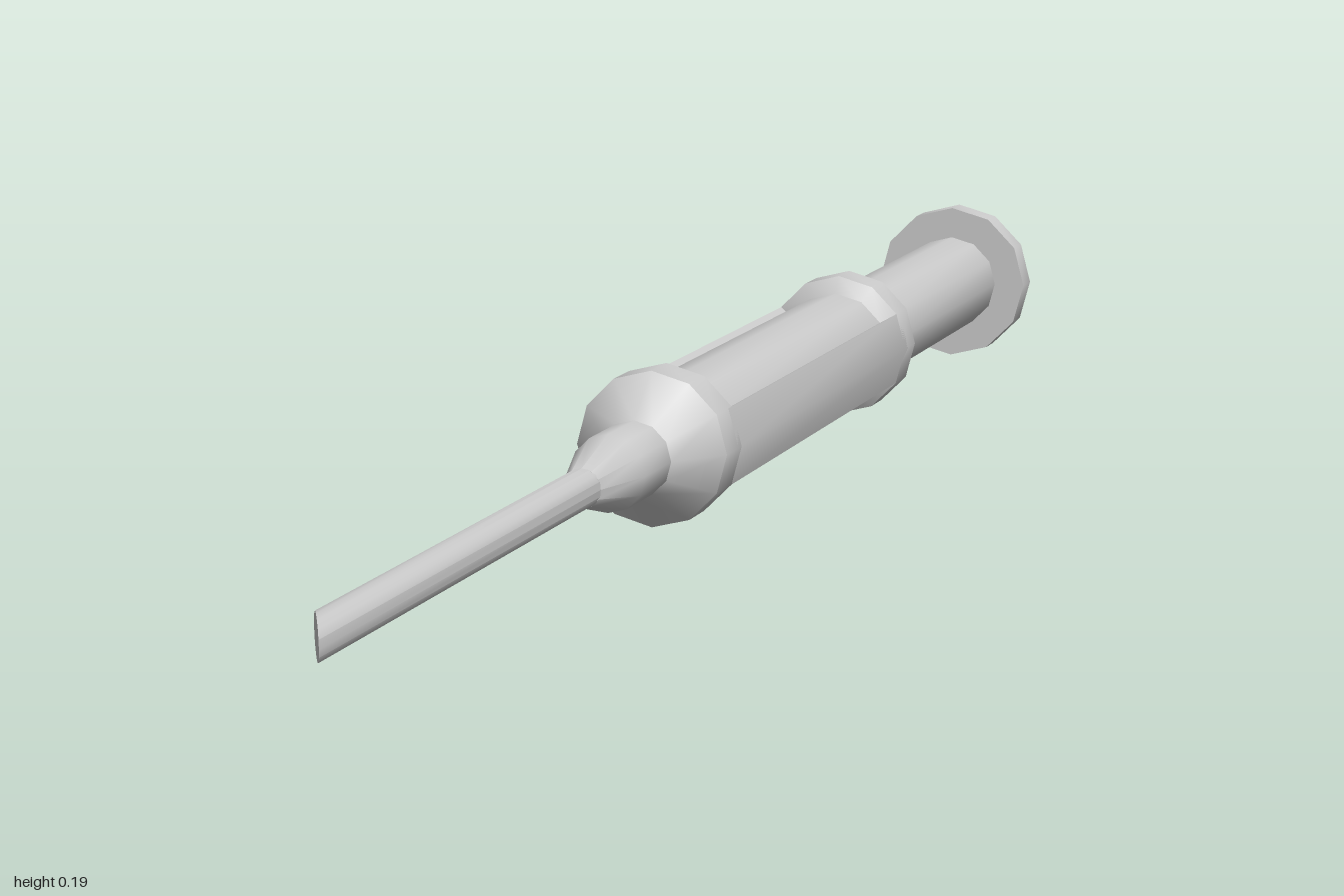
import * as THREE from 'three';
import { toCreasedNormals } from 'three/addons/utils/BufferGeometryUtils.js';

const SIDES = 12;
const AXIS_Y = 0.096;
const CREASE = 0.6;

export function createModel() {
  const group = new THREE.Group();
  const material = new THREE.MeshStandardMaterial({ color: 0xcccccc });

  const add = (name, geometry) => {
    const mesh = new THREE.Mesh(toCreasedNormals(geometry, CREASE), material);
    mesh.name = name;
    mesh.position.y = AXIS_Y;
    group.add(mesh);
  };

  // Turned part along z; profile is [radius, z] from back to front
  const turned = (profile, sides = SIDES) =>
    new THREE.LatheGeometry(profile.map(([r, z]) => new THREE.Vector2(r, z)), sides)
      .rotateX(Math.PI / 2);

  // Plunger: thumb button, flange and rod
  add('thumbButton', turned([[0, -1], [0.043, -1], [0.056, -0.985], [0.056, -0.95]]));
  add('plungerFlange', turned([[0, -0.958], [0.096, -0.958], [0.096, -0.925], [0, -0.925]]));
  add('plungerRod', turned([[0.058, -0.94], [0.058, -0.47]]));

  // Inner tube seen through the windows
  add('innerTube', turned([[0.063, -0.47], [0.063, 0.15]]));

  // Collars closing both ends of the windowed barrel
  add('rearCollar', turned([[0.05, -0.488], [0.082, -0.488], [0.082, -0.448], [0.062, -0.436]]));
  add('nose', turned([
    [0.062, 0.118], [0.082, 0.13], [0.082, 0.175], [0.04, 0.225],
    [0.04, 0.298], [0.02, 0.368], [0, 0.368],
  ]));

  // Two side walls of the barrel, leaving windows above and below
  const sideWall = () => {
    const angles = [-Math.PI / 6, 0, Math.PI / 6];
    const arc = (r) => angles.map((a) => new THREE.Vector2(r * Math.cos(a), r * Math.sin(a)));
    const shape = new THREE.Shape([...arc(0.082), ...arc(0.06).reverse()]);
    return new THREE.ExtrudeGeometry(shape, { depth: 0.6, bevelEnabled: false })
      .translate(0, 0, -0.46);
  };
  add('leftBarrelWall', sideWall());
  add('rightBarrelWall', sideWall().rotateZ(Math.PI));

  // Needle with a slanted tip, longest on the +x side
  const needle = turned([[0.02, 0.36], [0.02, 0.96], [0, 0.96]], 16);
  const p = needle.attributes.position;
  for (let i = 0; i < p.count; i++) {
    if (p.getZ(i) > 0.9) p.setZ(i, 0.963 + p.getX(i) * 1.85);
  }
  add('needle', needle);

  return group;
}
